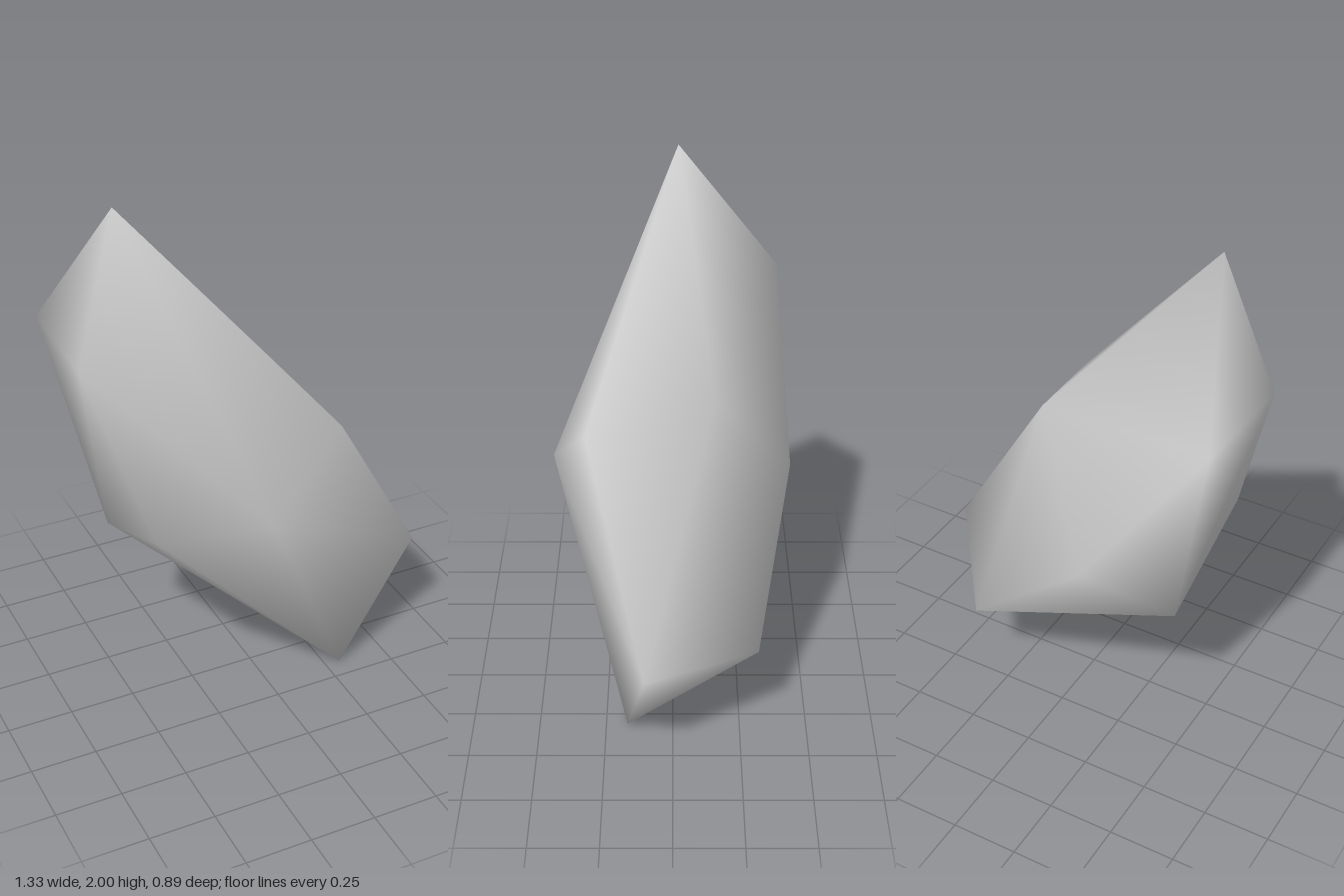
import * as THREE from 'three';
import { ConvexGeometry } from 'three/addons/geometries/ConvexGeometry.js';
import { mergeVertices } from 'three/addons/utils/BufferGeometryUtils.js';

// Smooth-shaded stone shard: a convex, stretched block with twelve corners
export function createModel() {
  const corners = [
    // tip and upper corners
    [-0.49, 2.0, -0.02],
    [-0.65, 1.47, -0.40], [-0.665, 1.47, 0.06], [-0.12, 0.92, 0.445],
    [0.21, 1.17, 0.31], [0.125, 1.275, -0.15],
    // lower corners and foot
    [-0.475, 0.63, -0.25], [-0.475, 0.83, 0.24], [0.66, 0.44, 0.10],
    [0.34, 0.35, -0.315], [-0.19, 0.84, -0.445],
    [0.31, 0, 0.17],
  ].map((p) => new THREE.Vector3(...p));

  // weld the hull's faces so the shading runs smoothly over the edges
  const hull = new ConvexGeometry(corners);
  hull.deleteAttribute('normal');
  const geometry = mergeVertices(hull);
  geometry.computeVertexNormals();

  const stone = new THREE.MeshStandardMaterial({ color: 0xcccccc });
  stone.name = 'stone grey';
  const shard = new THREE.Mesh(geometry, stone);
  shard.name = 'stoneShard';

  const group = new THREE.Group();
  group.name = 'stone';
  group.add(shard);
  return group;
}
